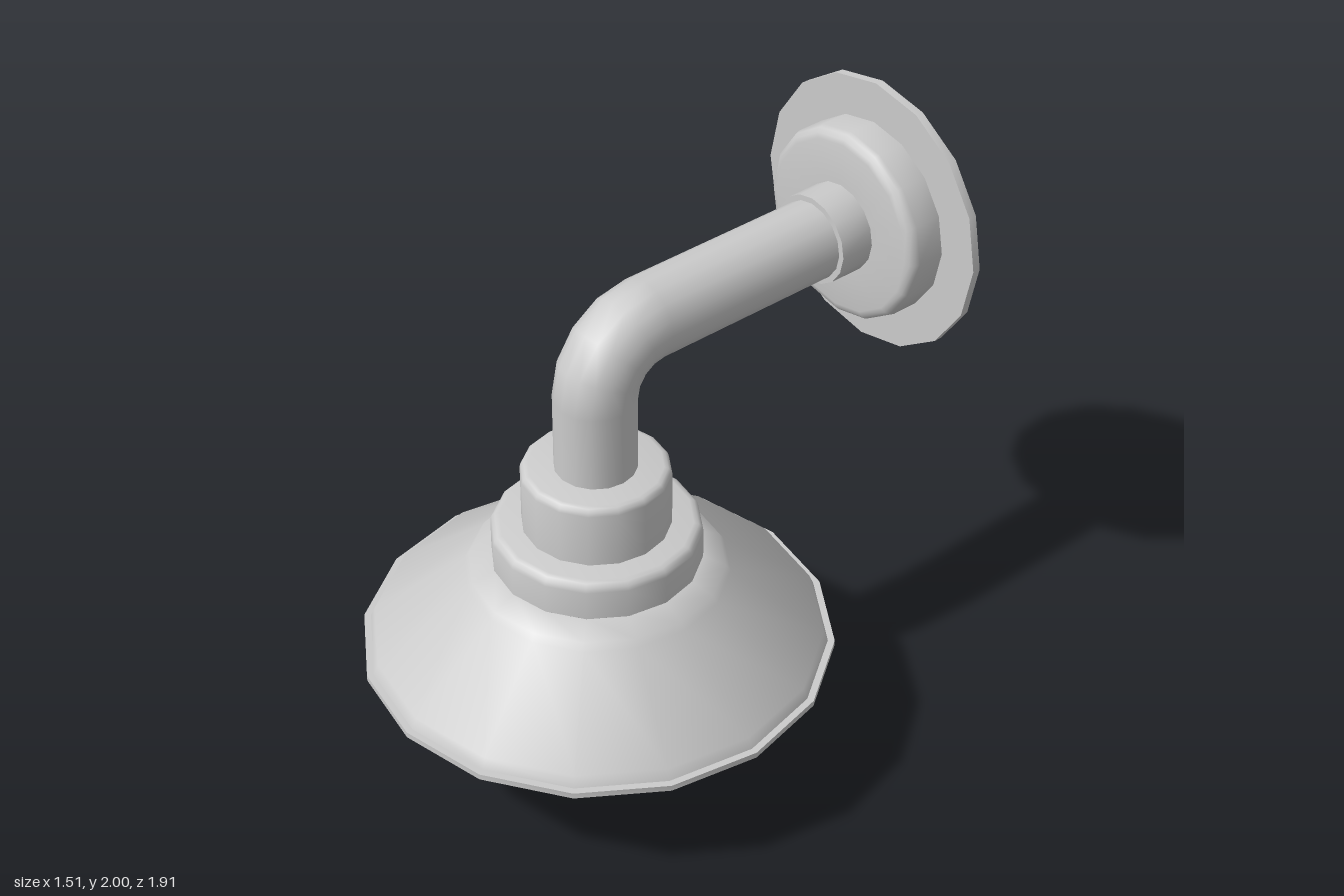
import * as THREE from 'three';
import { toCreasedNormals } from 'three/addons/utils/BufferGeometryUtils.js';

const SIDES = 16;
const LAMP_Z = 0.197; // vertical axis of the shade
const ARM_Y = 1.54; // horizontal axis of the arm and wall mount
const PIPE_R = 0.13;
const BEND_R = LAMP_Z;

const material = new THREE.MeshStandardMaterial({ color: 0xcccccc, side: THREE.DoubleSide });

function addMesh(group, name, geometry) {
  const mesh = new THREE.Mesh(geometry, material);
  mesh.name = name;
  group.add(mesh);
  return mesh;
}

// Turned part with soft bevels and sharp corners
function turned(profile) {
  const points = profile.map(([r, y]) => new THREE.Vector2(r, y));
  return toCreasedNormals(new THREE.LatheGeometry(points, SIDES), 0.7);
}

// Quarter-round from a vertical wall of radius r to a flat top at y
function roundedEdge(r, y, bevel) {
  return [0, 1, 2, 3].map((i) => {
    const a = (i / 3) * Math.PI / 2;
    return [r - bevel + bevel * Math.cos(a), y - bevel + bevel * Math.sin(a)];
  });
}

// Closed drum with a rounded top edge
function drum(r, bottom, top, bevel) {
  return turned([[0, bottom], [r - 0.01, bottom], [r, bottom + 0.01], ...roundedEdge(r, top, bevel), [0, top]]);
}

export function createModel() {
  const model = new THREE.Group();
  model.name = 'wallLamp';

  // Lamp head, turned about a vertical axis
  const head = new THREE.Group();
  head.name = 'lampHead';
  head.position.z = LAMP_Z;
  model.add(head);

  addMesh(head, 'shade', turned([
    [0, 0.7], [0.38, 0.7], [0.7, 0.46], [0.73, 0.41], // inside
    [0.757, 0.41], [0.757, 0.43], [0.735, 0.43], [0.72, 0.465], // rim
    [0.42, 0.695], [0.405, 0.717], [0.33, 0.75], [0, 0.75], // outside
  ]));
  addMesh(head, 'lowerCollar', drum(0.333, 0.74, 0.88, 0.03));
  addMesh(head, 'upperCollar', drum(0.235, 0.87, 1.09, 0.025));

  // Bulb: a straight body with matching domes at both ends
  const dome = [0, 1, 2, 3, 4, 5].map((i) => {
    const a = (i / 5) * Math.PI / 2;
    return [0.195 * Math.sin(a), 0.22 * Math.cos(a)];
  });
  addMesh(head, 'bulb', turned([
    ...dome.map(([r, h]) => [r, 0.22 - h]),
    ...dome.slice().reverse().map(([r, h]) => [r, 0.54 + h]),
  ]));

  // Bent arm: upright pipe, elbow and horizontal pipe
  const arm = new THREE.Group();
  arm.name = 'arm';
  model.add(arm);
  const bendY = ARM_Y - BEND_R;
  const pipe = (length) => new THREE.CylinderGeometry(PIPE_R, PIPE_R, length, SIDES, 1, true);
  addMesh(arm, 'uprightPipe', pipe(bendY - 1.07)).position.set(0, (bendY + 1.07) / 2, LAMP_Z);
  const elbow = new THREE.TorusGeometry(BEND_R, PIPE_R, SIDES, 4, Math.PI / 2);
  addMesh(arm, 'elbow', elbow.rotateY(-Math.PI / 2)).position.y = bendY;
  addMesh(arm, 'horizontalPipe', pipe(0.72).rotateX(Math.PI / 2)).position.set(0, ARM_Y, -0.36);

  // Wall mount, turned about the arm's axis and hollow at the back
  const mount = new THREE.Group();
  mount.name = 'wallMount';
  mount.position.y = ARM_Y;
  mount.rotation.x = Math.PI / 2;
  model.add(mount);
  addMesh(mount, 'wallPlate', turned([
    [0.14, -0.81], [0.28, -0.81], [0.31, -0.84], [0.31, -0.955], // hollow
    [0.46, -0.955], [0.46, -0.927], [0.325, -0.927], // flange
    ...roundedEdge(0.325, -0.797, 0.035), [0.14, -0.797], [0.14, -0.81], // cup
  ]));
  addMesh(mount, 'armSocket', turned([
    [0.14, -0.81], [0.149, -0.8], [0.149, -0.675], [0.128, -0.675], [0.128, -0.7], [0.14, -0.7], [0.14, -0.81],
  ]));

  return model;
}
